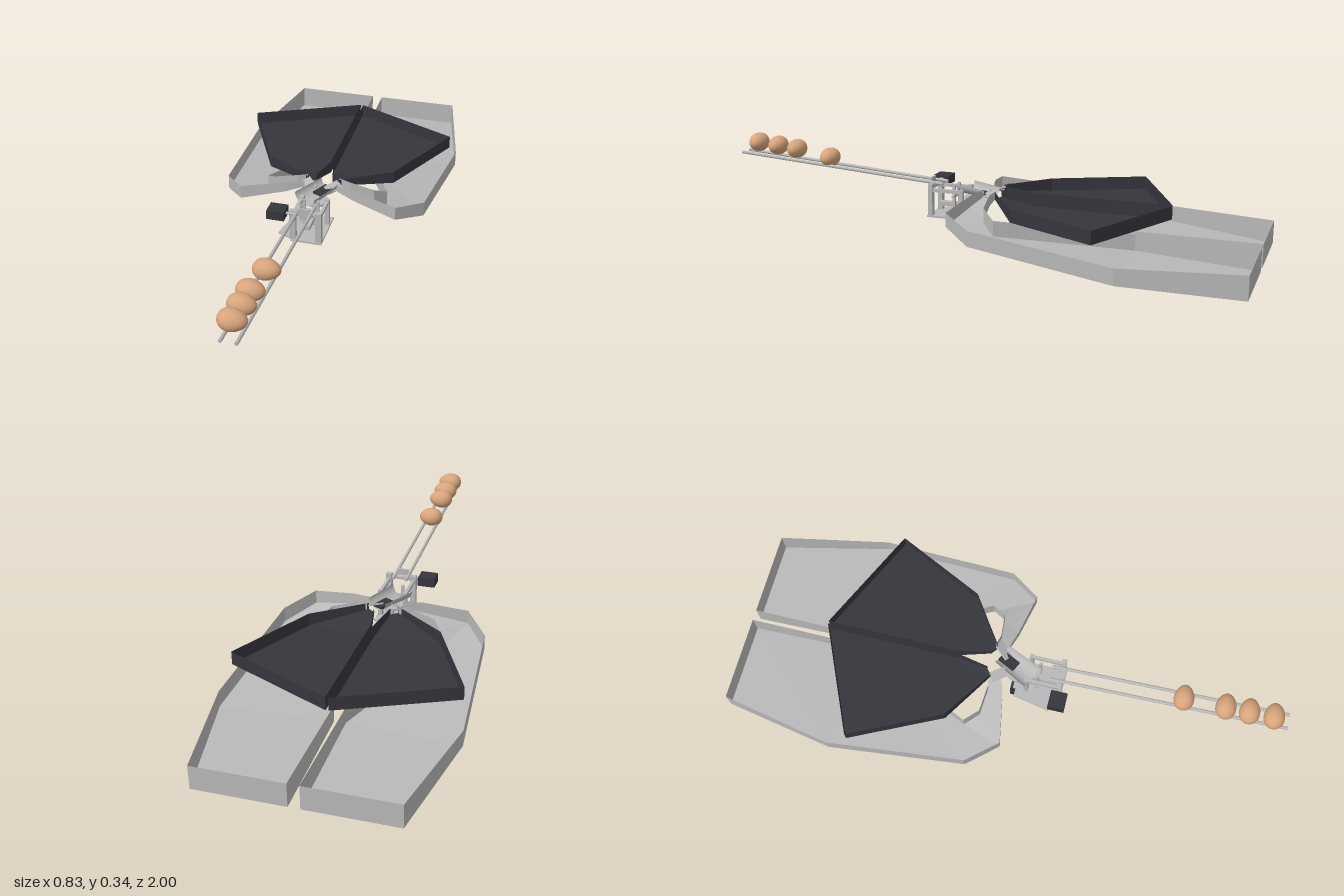
import * as THREE from 'three';

const mat = (name, color, side = THREE.FrontSide) => {
  const m = new THREE.MeshStandardMaterial({ color, side });
  m.name = name;
  return m;
};

export function createModel() {
  const model = new THREE.Group();
  model.name = 'eggSorter';
  const metal = mat('light grey', 0xb8b8b8);
  const sheet = mat('light grey sheet', 0xb8b8b8, THREE.DoubleSide);
  const dark = mat('charcoal', 0x35353d);
  const darkSheet = mat('charcoal sheet', 0x35353d, THREE.DoubleSide);
  const shell = mat('egg brown', 0xd7a57c);

  const add = (name, geo, material, x = 0, y = 0, z = 0, parent = model) => {
    const m = new THREE.Mesh(geo, material);
    m.name = name;
    m.position.set(x, y, z);
    parent.add(m);
    return m;
  };
  // box given by its limits on each axis
  const block = (name, x0, x1, y0, y1, z0, z1, material = metal, parent = model) =>
    add(name, new THREE.BoxGeometry(x1 - x0, y1 - y0, z1 - z0), material,
      (x0 + x1) / 2, (y0 + y1) / 2, (z0 + z1) / 2, parent);
  const rod = (name, a, b, r, material = metal) => {
    const path = new THREE.LineCurve3(new THREE.Vector3(...a), new THREE.Vector3(...b));
    const m = add(name, new THREE.CylinderGeometry(r, r, path.getLength(), 12), material);
    m.position.copy(path.getPoint(0.5));
    m.quaternion.setFromUnitVectors(new THREE.Vector3(0, 1, 0), path.getTangent(0));
    return m;
  };

  // open tray from sections [outer x, outer z, inner x, inner z, floor y, rim y]
  const tray = (sections, side) => {
    const pos = [];
    const quad = (a, b, c, d) => {
      for (const p of [a, b, c, a, c, d]) pos.push(p[0] * side, p[1], p[2]);
    };
    const rings = sections.map(([ox, oz, ix, iz, f, r]) =>
      [[ox, r, oz], [ox, f, oz], [ix, f, iz], [ix, r, iz]]);
    for (let i = 0; i < rings.length - 1; i++)
      for (let j = 0; j < 3; j++)
        quad(rings[i][j], rings[i][j + 1], rings[i + 1][j + 1], rings[i + 1][j]);
    quad(...rings[rings.length - 1]);
    const g = new THREE.BufferGeometry();
    g.setAttribute('position', new THREE.Float32BufferAttribute(pos, 3));
    g.computeVertexNormals();
    return g;
  };
  const lower = [
    [0.06, -0.02, 0.06, -0.07, 0.18, 0.205],
    [0.13, 0.0, 0.1, -0.06, 0.16, 0.2],
    [0.29, 0.03, 0.19, -0.07, 0.125, 0.175],
    [0.375, -0.08, 0.23, -0.12, 0.09, 0.145],
    [0.415, -0.59, 0.02, -0.57, 0.027, 0.085],
    [0.335, -1, 0.02, -1, 0, 0.085],
  ];
  const upper = [
    [0.055, -0.06, 0.03, -0.08, 0.178, 0.202],
    [0.24, -0.185, 0.005, -0.2, 0.148, 0.195],
    [0.397, -0.51, 0.005, -0.69, 0.147, 0.195],
  ];
  for (const s of [1, -1]) {
    const label = s > 0 ? 'left' : 'right';
    add(label + 'LowerTray', tray(lower, s), sheet);
    add(label + 'UpperTray', tray(upper, s), darkSheet);
    rod(label + 'Rail', [s * 0.025, 0.262, 0.998], [s * 0.025, 0.205, 0.15], 0.006);
  }

  // eggs lying across the rails
  const eggProfile = [];
  for (let i = 0; i <= 20; i++) {
    const a = Math.PI * i / 20;
    eggProfile.push(new THREE.Vector2(
      0.036 * Math.sin(a) * (1 + 0.12 * Math.cos(a)), -0.047 * Math.cos(a)));
  }
  const eggGeo = new THREE.LatheGeometry(eggProfile, 28).rotateZ(-Math.PI / 2);
  [[-0.005, 0.3, 0.94], [-0.005, 0.293, 0.855], [-0.005, 0.286, 0.773], [0, 0.264, 0.627]]
    .forEach((p, i) => add('egg' + (i + 1), eggGeo, shell, ...p));

  // weighing frame with base plate and posts
  const frame = new THREE.Group();
  frame.name = 'frame';
  model.add(frame);
  const bar = (name, ...v) => block(name, ...v, metal, frame);
  bar('basePlate', -0.05, 0.062, 0.085, 0.092, 0.02, 0.2);
  const flange = new THREE.Shape([[-0.05, -0.19], [-0.105, -0.165], [-0.08, -0.03], [-0.05, -0.03]]
    .map(p => new THREE.Vector2(...p)).reverse());
  add('baseFlange', new THREE.ExtrudeGeometry(flange, { depth: 0.006, bevelEnabled: false })
    .rotateX(-Math.PI / 2), metal, 0, 0.086, 0, frame);
  for (const s of [-1, 1]) {
    const x = s < 0 ? -0.044 : 0.05;
    bar('frontPost', x - 0.011, x + 0.011, 0.09, 0.208, 0.178, 0.195);
    bar('rearPost', x - 0.008, x + 0.008, 0.09, 0.195, 0.06, 0.075);
    bar('sideBeam', x - 0.006, x + 0.006, 0.18, 0.192, 0.07, 0.18);
    bar('innerPost', s * 0.025 - 0.005, s * 0.025 + 0.005, 0.09, 0.205, 0.1, 0.11);
  }
  bar('frontTopBar', -0.055, 0.06, 0.19, 0.2, 0.18, 0.192);
  bar('middleBar', -0.035, 0.04, 0.16, 0.168, 0.1, 0.11);
  bar('lowerBar', -0.035, 0.04, 0.108, 0.116, 0.1, 0.112);
  bar('loadCell', -0.012, 0.012, 0.12, 0.135, 0.06, 0.17);
  bar('railStop', -0.02, 0.02, 0.195, 0.225, 0.196, 0.202);

  // servo boxes
  block('gateServo', -0.13, -0.066, 0.18, 0.213, 0.165, 0.225, dark);
  rod('gateShaft', [-0.07, 0.197, 0.195], [0.03, 0.197, 0.195], 0.005);
  block('swivelServo', -0.052, 0.012, 0.018, 0.08, 0.01, 0.046, dark);
  rod('swivelShaft', [-0.005, 0.075, 0.03], [-0.005, 0.17, 0.03], 0.008);

  // swivelling chute
  const chute = new THREE.Group();
  chute.name = 'chute';
  chute.position.set(0, 0.205, 0.02);
  chute.rotation.y = -0.45;
  model.add(chute);
  add('chuteTrough', new THREE.CylinderGeometry(0.04, 0.046, 0.14, 20, 1, true, Math.PI / 2, Math.PI)
    .rotateX(-Math.PI / 2).scale(1, 0.85, 1), sheet, 0, 0, 0, chute);
  block('chutePad', -0.02, 0.02, -0.029, -0.02, -0.068, 0, dark, chute);
  add('turntable', new THREE.CylinderGeometry(0.045, 0.045, 0.008, 24), metal, 0, -0.045, 0.01, chute);

  // small feed lips between the chute and the trays
  for (const s of [1, -1]) {
    const lip = block('feedLip', -0.018, 0.018, -0.003, 0.003, -0.03, 0.03);
    lip.position.set(s * 0.045, 0.185, -0.035);
    lip.rotation.set(0.2, -s * 0.7, -s * 0.3);
  }
  return model;
}
